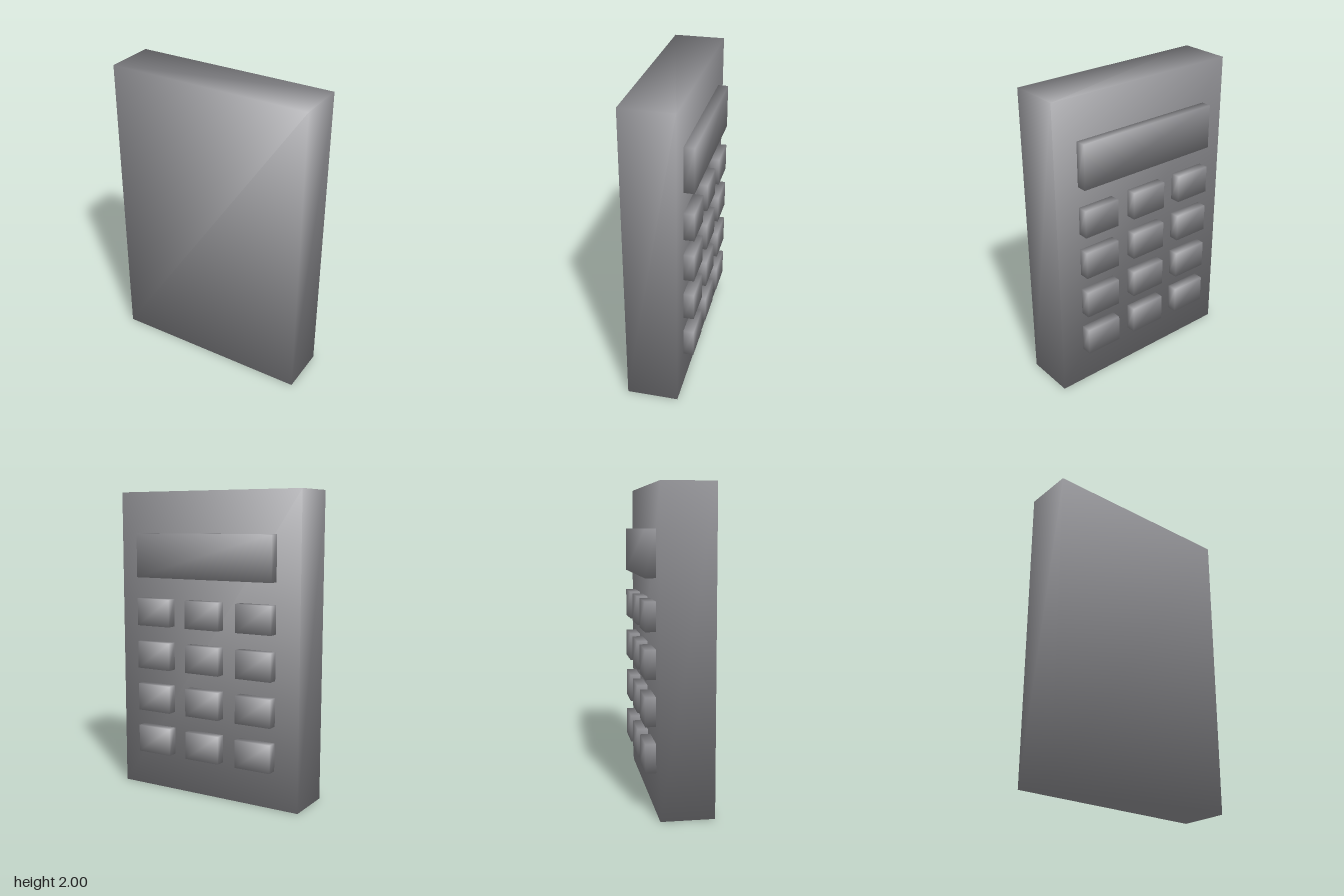
import * as THREE from 'three';
import { mergeVertices } from 'three/addons/utils/BufferGeometryUtils.js';

const material = new THREE.MeshStandardMaterial({ color: 0x8f8f93 });
const BODY_BACK = -0.133;
const FACE_Z = -0.2;

// Box with shared corners whose normals point evenly between the three faces
function softBox(name, width, height, depth, x, y, z) {
  const box = new THREE.BoxGeometry(width, height, depth);
  box.deleteAttribute('normal');
  box.deleteAttribute('uv');
  const geometry = mergeVertices(box);
  const corners = geometry.attributes.position;
  const normals = corners.clone();
  const n = new THREE.Vector3();
  for (let i = 0; i < corners.count; i++) {
    n.set(Math.sign(corners.getX(i)), Math.sign(corners.getY(i)), Math.sign(corners.getZ(i))).normalize();
    normals.setXYZ(i, n.x, n.y, n.z);
  }
  geometry.setAttribute('normal', normals);
  const mesh = new THREE.Mesh(geometry, material);
  mesh.name = name;
  mesh.position.set(x, y, z);
  return mesh;
}

export function createModel() {
  const model = new THREE.Group();
  model.name = 'calculator';

  // Casing
  const bodyDepth = 0.2 - BODY_BACK;
  model.add(softBox('body', 1.333, 2, bodyDepth, 0, 1, BODY_BACK + bodyDepth / 2));

  // Raised display on the keyed side
  const raise = BODY_BACK - FACE_Z;
  const raisedZ = (BODY_BACK + FACE_Z) / 2;
  model.add(softBox('display', 1.005, 0.29, raise, 0, 1.585, raisedZ));

  // Keypad: four rows of three keys
  const keypad = new THREE.Group();
  keypad.name = 'keypad';
  for (let row = 0; row < 4; row++) {
    for (let column = -1; column <= 1; column++) {
      keypad.add(softBox('key', 0.25, 0.182, raise, column * 0.376, 1.21 - row * 0.29, raisedZ));
    }
  }
  model.add(keypad);

  return model;
}
